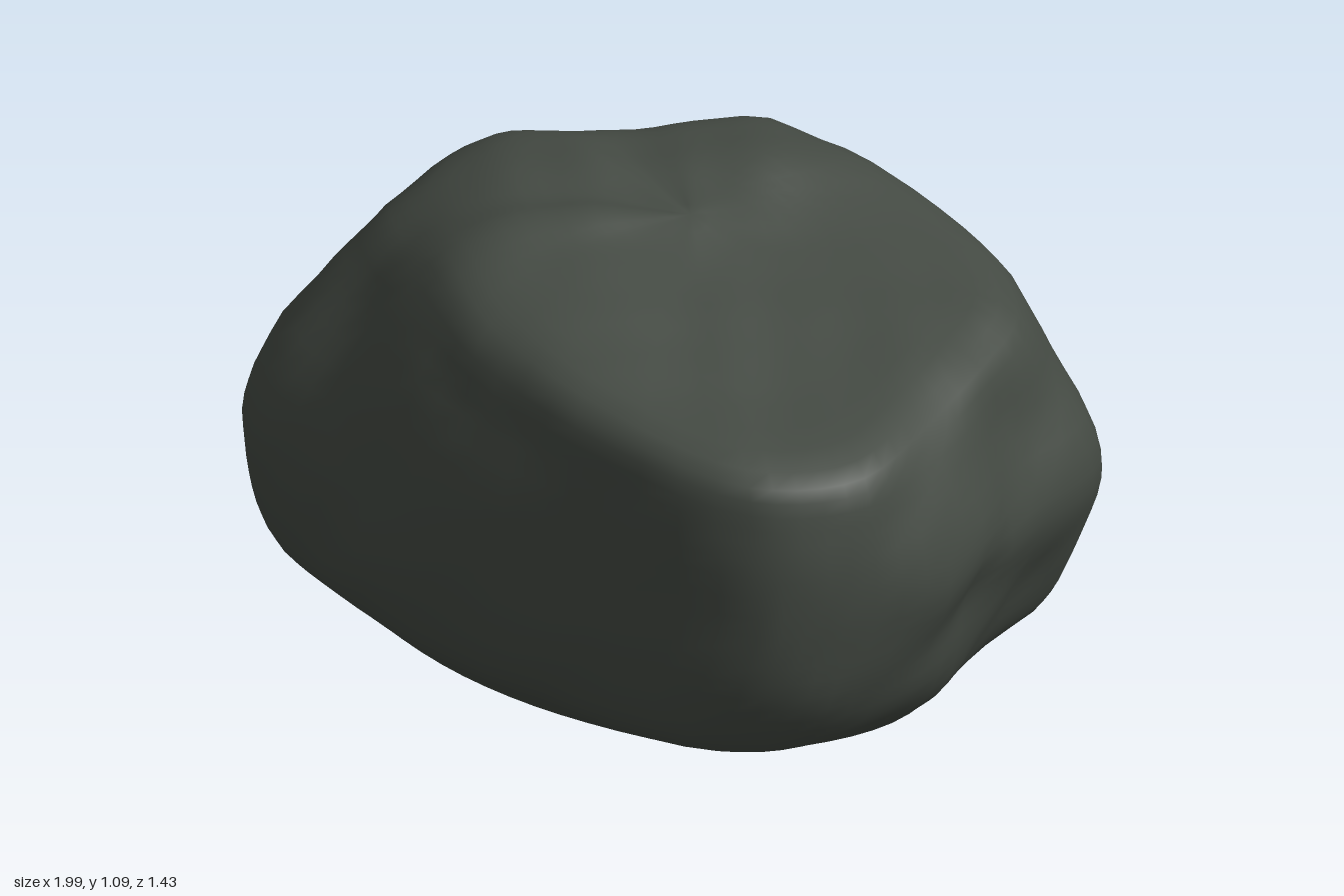
import * as THREE from 'three';

const COLUMNS = 72, ROWS = 36;

// Widest outline [x, z] and matching top edge [x, y, z], going round from the left side (+x) to the front
const outline = [
  [1.0, 0.12], [0.93, 0.42], [0.77, 0.61], [0.3, 0.7], [-0.1, 0.71], [-0.5, 0.64], [-0.82, 0.54], [-0.99, 0.32],
  [-0.98, -0.1], [-0.98, -0.36], [-0.82, -0.62], [-0.4, -0.72], [0.2, -0.68], [0.65, -0.6], [0.88, -0.47], [0.92, -0.2],
];
const rim = [
  [0.85, 0.85, 0.12], [0.87, 0.83, 0.39], [0.72, 0.84, 0.58], [0.3, 0.88, 0.63], [-0.08, 0.93, 0.58], [-0.33, 0.98, 0.46],
  [-0.54, 0.93, 0.33], [-0.66, 0.94, 0.22], [-0.64, 0.98, -0.02], [-0.59, 0.93, -0.2], [-0.44, 0.96, -0.32],
  [-0.2, 1.03, -0.42], [0.12, 1.04, -0.47], [0.48, 0.97, -0.47], [0.73, 0.91, -0.32], [0.81, 0.88, -0.1],
];

// Closed smooth loop from one rule per column
const loop = (rule) => new THREE.CatmullRomCurve3(
  outline.map(([x, z], i) => new THREE.Vector3(...rule(x, z, rim[i]))), true, 'centripetal');

// Loops from the flat, rounded base up to the crown
const loops = [
  loop((x, z) => {
    const round = Math.hypot(x, z / 0.71) ** -0.6;
    return [x * 0.81 * round - 0.065, 0, z * 0.82 * round];
  }),
  loop((x, z) => [x * 0.9 - 0.06, 0.1, z * 0.94]),
  loop((x, z) => [x * 0.965 - 0.03, 0.28, z * (z > 0 ? 1 : 0.97)]),
  loop((x, z) => [x < 0 ? x * (z < 0 ? 0.94 : 0.97) : x, 0.48, z * 0.99]),
  loop((x, z, r) => [x * 0.5 + r[0] * 0.52, 0.24 + r[1] * 0.54, z * 0.48 + r[2] * 0.54]),
  loop((x, z, r) => r),
  loop((x, z, r) => [r[0] * 0.64, r[1] * 0.64 + 0.41 - r[0] * 0.05, r[2] * 0.64]),
  loop((x, z, r) => [r[0] * 0.3, r[1] * 0.3 + 0.75 - r[0] * 0.04, r[2] * 0.3]),
];
const crown = new THREE.Vector3(0.04, 1.04, 0);

// Gentle weathered bumps
function bump({ x, y, z }) {
  return 0.009 * Math.sin(7 * x + 3 * y + 1.3) * Math.sin(6 * z - 5 * y + 0.4)
    + 0.006 * Math.sin(13 * y + 5 * z - 4 * x) * Math.cos(9 * x - 8 * z + 2)
    + 0.006 * Math.sin(23 * x + 1) * Math.sin(21 * z + 1) * Math.sin(19 * y);
}

// Shallow hollows: position, radius, depth
const hollows = [
  [new THREE.Vector3(0.97, 0.38, 0.04), 0.13, 0.04],
  [new THREE.Vector3(-0.62, 0.75, 0.44), 0.17, 0.05],
  [new THREE.Vector3(-0.84, 0.76, 0.14), 0.2, 0.07],
  [new THREE.Vector3(-0.93, 0.55, -0.08), 0.13, 0.03],
  [new THREE.Vector3(-0.64, 0.76, -0.46), 0.3, 0.08],
  [new THREE.Vector3(0.2, 0.84, -0.58), 0.2, 0.03],
  [new THREE.Vector3(0.9, 0.7, -0.22), 0.15, 0.03],
];

function rockGeometry() {
  const positions = [], index = [];
  const middle = new THREE.Vector3(0, 0.45, 0), dir = new THREE.Vector3();
  for (let c = 0; c < COLUMNS; c++) {
    const points = loops.map((l) => l.getPoint(c / COLUMNS));
    const column = new THREE.CatmullRomCurve3([...points, crown], false, 'centripetal');
    for (let r = 0; r < ROWS; r++) {
      const p = column.getPoint(r / ROWS);
      dir.copy(p).sub(middle).normalize();
      const fade = Math.min(1, p.y / 0.2) * Math.min(1, (1 - r / ROWS) * 8);
      let d = bump(p);
      for (const [at, radius, depth] of hollows) d -= depth * Math.exp(-((p.distanceTo(at) / radius) ** 2));
      p.addScaledVector(dir, d * fade);
      positions.push(p.x, Math.max(0, p.y), p.z);
    }
  }
  const top = positions.length / 3;
  positions.push(crown.x, crown.y, crown.z);
  for (let c = 0; c < COLUMNS; c++) {
    const a = c * ROWS, b = ((c + 1) % COLUMNS) * ROWS;
    for (let r = 0; r < ROWS - 1; r++) {
      index.push(a + r, a + r + 1, b + r, b + r, a + r + 1, b + r + 1);
    }
    index.push(a + ROWS - 1, top, b + ROWS - 1);
  }
  const geometry = new THREE.BufferGeometry();
  geometry.setAttribute('position', new THREE.Float32BufferAttribute(positions, 3));
  geometry.setIndex(index);
  geometry.computeVertexNormals();
  return geometry;
}

export function createModel() {
  const group = new THREE.Group();
  group.name = 'boulder';
  const stone = new THREE.MeshStandardMaterial({ color: 0x444a43 });
  stone.name = 'dark stone';

  // Weathered body
  const body = new THREE.Mesh(rockGeometry(), stone);
  body.name = 'rockBody';

  // Flat underside, drawn in plan and turned to face down
  const plan = loops[0].getPoints(COLUMNS).slice(0, COLUMNS).map((p) => new THREE.Vector2(p.x, p.z));
  const underside = new THREE.Mesh(new THREE.ShapeGeometry(new THREE.Shape(plan)), stone);
  underside.rotation.x = Math.PI / 2;
  underside.name = 'flatUnderside';

  group.add(body, underside);
  return group;
}
